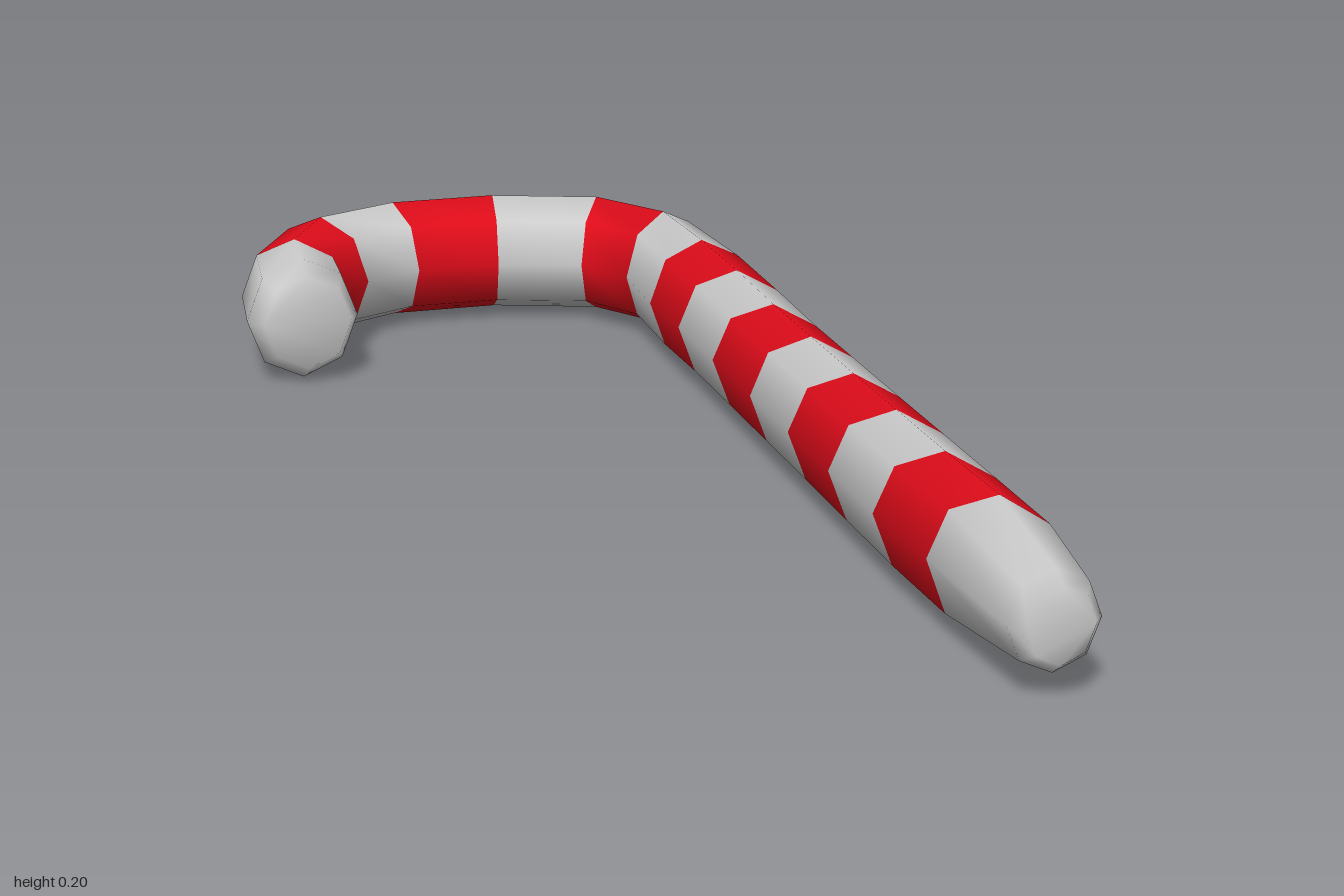
import * as THREE from 'three';

const SIDES = 8;
const MID_Y = 0.101;

// Slanted cross-sections from the tip to the end of the hook:
// inner x, inner z, outer x, outer z, half height
const rings = [
  [0.28, 1.0, 0.37, 1.0, 0.052],
  [0.26, 0.98, 0.385, 0.98, 0.068],
  [0.248, 0.73, 0.395, 0.85, 0.1],
  [0.24, 0.545, 0.398, 0.655, 0.098],
  [0.24, 0.36, 0.398, 0.46, 0.097],
  [0.24, 0.18, 0.398, 0.28, 0.096],
  [0.24, 0.0, 0.398, 0.08, 0.096],
  [0.24, -0.19, 0.398, -0.09, 0.096],
  [0.24, -0.375, 0.402, -0.29, 0.098],
  [0.235, -0.52, 0.405, -0.52, 0.099],
  [0.24, -0.68, 0.39, -0.77, 0.096],
  [0.187, -0.77, 0.28, -0.93, 0.096],
  [0.055, -0.81, 0.08, -1.0, 0.096],
  [-0.08, -0.81, -0.13, -0.99, 0.096],
  [-0.175, -0.765, -0.305, -0.895, 0.097],
  [-0.225, -0.67, -0.39, -0.73, 0.097],
  [-0.23, -0.58, -0.407, -0.58, 0.097],
  [-0.245, -0.55, -0.385, -0.55, 0.075],
];

// The bands alternate, apart from the bevel at each end
const isRed = (band) => band >= 2 && band < rings.length - 2 && band % 2 === 0;

export function createModel() {
  const positions = [];
  for (const [ix, iz, ox, oz, h] of rings) {
    for (let j = 0; j < SIDES; j++) {
      const a = (j / SIDES) * Math.PI * 2;
      const t = 0.5 + 0.5 * Math.cos(a);
      positions.push(ix + (ox - ix) * t, MID_Y + h * Math.sin(a), iz + (oz - iz) * t);
    }
  }

  // Side bands, sorted by colour
  const white = [];
  const red = [];
  for (let i = 0; i < rings.length - 1; i++) {
    const list = isRed(i) ? red : white;
    for (let j = 0; j < SIDES; j++) {
      const k = (j + 1) % SIDES;
      const a = i * SIDES + j, b = a + SIDES;
      const c = i * SIDES + k, d = c + SIDES;
      list.push(a, b, c, b, d, c);
    }
  }

  // End caps
  const last = (rings.length - 1) * SIDES;
  for (let j = 1; j < SIDES - 1; j++) {
    white.push(0, j, j + 1, last, last + j + 1, last + j);
  }

  // Normals are computed over the whole cane so shading runs across the stripes
  const whole = new THREE.BufferGeometry();
  whole.setAttribute('position', new THREE.Float32BufferAttribute(positions, 3));
  whole.setIndex([...white, ...red]);
  whole.computeVertexNormals();

  const group = new THREE.Group();
  group.name = 'candyCane';
  const addStripes = (name, index, color) => {
    const geometry = whole.clone();
    geometry.setIndex(index);
    const mesh = new THREE.Mesh(geometry, new THREE.MeshStandardMaterial({ color }));
    mesh.name = name;
    group.add(mesh);
  };
  addStripes('whiteStripes', white, 0xcccccc);
  addStripes('redStripes', red, 0xe00c1a);
  return group;
}
